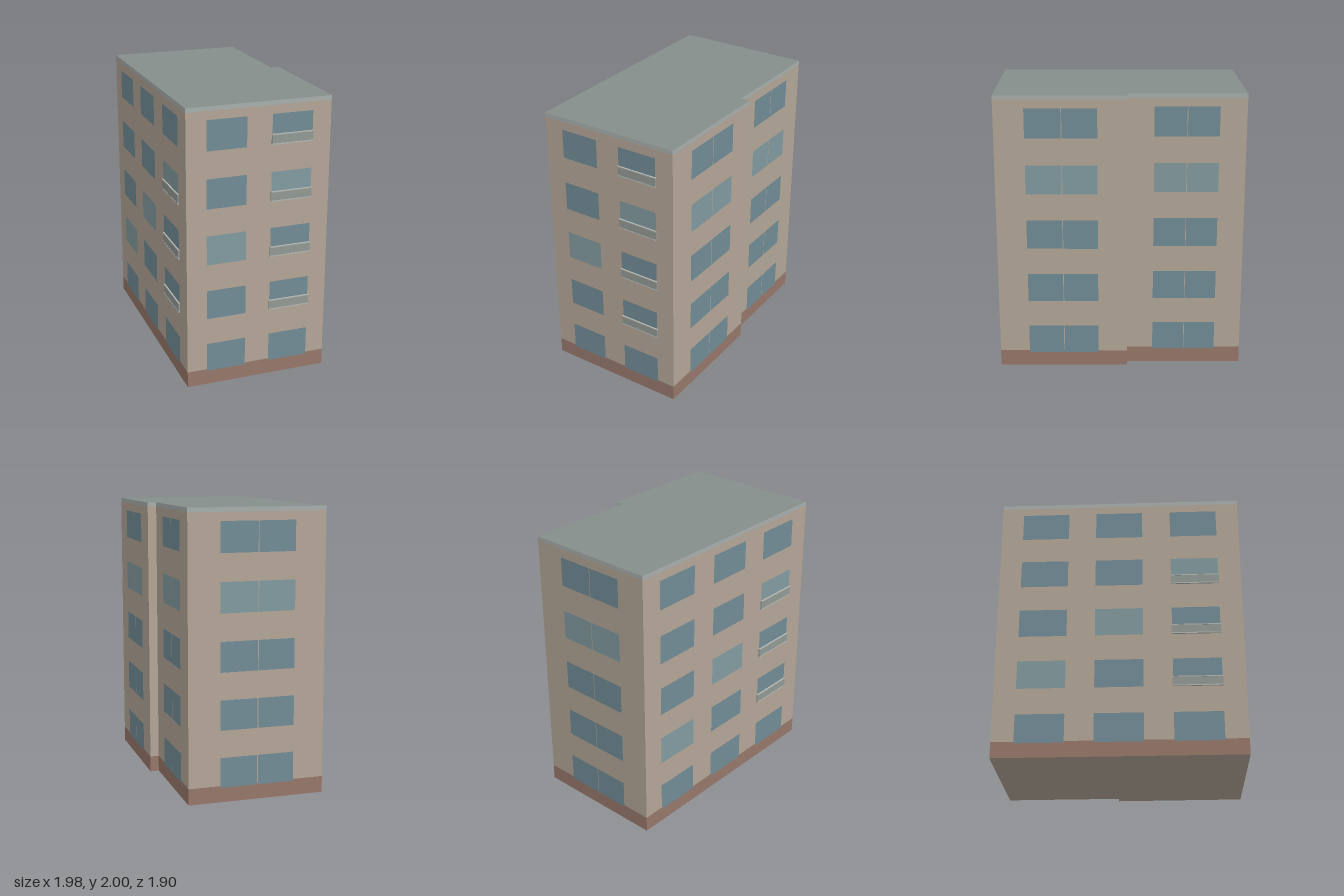
import * as THREE from 'three';

const mat = (color) => new THREE.MeshStandardMaterial({ color });

export function createModel() {
  const building = new THREE.Group();
  building.name = 'apartmentBlock';
  const wallMat = mat(0xb3a697), plinthMat = mat(0x97776a), bandMat = mat(0xa8afac);
  const roofMat = mat(0x858e8a), glassMat = mat(0x728c96), paleGlassMat = mat(0x829ba0);
  const balconyMat = mat(0x929995), railMat = mat(0xb4b7b2);
  const HEIGHT = 2, PLINTH = 0.115, BAND = 1.97, STOREY = 0.4;

  // Footprint corners (x, z), counter-clockwise seen from above
  const corners = [
    [-0.99, -0.24], [0.295, 0.95], [0.985, 0.19],
    [0.315, -0.44], [0.275, -0.39], [-0.33, -0.955],
  ];

  // Each wall: window spans as fractions of its length, the storey with pale
  // glass in each span, and storeys with a balcony on the last span
  const pair = [[0.23, 0.503], [0.509, 0.775]];
  const walls = [
    { name: 'longFacade', spans: [[0.09, 0.285], [0.4, 0.595], [0.712, 0.907]], pale: [1, 2, 3], balconies: [1, 2, 3] },
    { name: 'endFacade', spans: [[0.138, 0.413], [0.587, 0.87]], pale: [2, 3], balconies: [1, 2, 3, 4] },
    { name: 'rearWallProjecting', spans: pair, pale: [3, 3], balconies: [] },
    { name: 'rearStep', spans: [], pale: [], balconies: [] },
    { name: 'rearWall', spans: pair, pale: [3, 3], balconies: [] },
    { name: 'farEndWall', spans: pair, pale: [3, 3], balconies: [] },
  ];

  // Flat panel in a wall's own frame: x along the wall, z outwards
  const panel = (parent, name, x0, x1, y0, y1, z, material) => {
    const m = new THREE.Mesh(new THREE.PlaneGeometry(x1 - x0, y1 - y0), material);
    m.position.set((x0 + x1) / 2, (y0 + y1) / 2, z);
    m.name = name;
    parent.add(m);
  };
  const block = (parent, name, x0, x1, y0, y1, depth, material) => {
    const m = new THREE.Mesh(new THREE.BoxGeometry(x1 - x0, y1 - y0, depth), material);
    m.position.set((x0 + x1) / 2, (y0 + y1) / 2, depth / 2);
    m.name = name;
    parent.add(m);
  };

  walls.forEach((spec, i) => {
    const [ax, az] = corners[i], [bx, bz] = corners[(i + 1) % corners.length];
    const length = Math.hypot(bx - ax, bz - az);
    const wall = new THREE.Group();
    wall.name = spec.name;
    wall.position.set(ax, 0, az);
    wall.rotation.y = Math.atan2(az - bz, bx - ax);
    building.add(wall);

    panel(wall, 'plinth', 0, length, 0, PLINTH, 0, plinthMat);
    panel(wall, 'wallFace', 0, length, PLINTH, BAND, 0, wallMat);
    panel(wall, 'roofEdge', 0, length, BAND, HEIGHT, 0, bandMat);

    // Windows, storey by storey
    spec.spans.forEach(([u0, u1], w) => {
      for (let floor = 0; floor < 5; floor++) {
        const y = 0.103 + floor * STOREY * 0.999;
        const glass = spec.pale[w] === floor ? paleGlassMat : glassMat;
        panel(wall, 'window', u0 * length, u1 * length, y, y + 0.209, 0.002, glass);
      }
    });

    // Shallow balconies: slab, front panel and rail
    spec.balconies.forEach((floor) => {
      const [u0, u1] = spec.spans[spec.spans.length - 1];
      const x0 = u0 * length - 0.004, x1 = u1 * length + 0.004;
      const y = 0.102 + floor * STOREY;
      const balcony = new THREE.Group();
      balcony.name = 'balcony';
      wall.add(balcony);
      block(balcony, 'balconySlab', x0, x1, y, y + 0.008, 0.012, railMat);
      block(balcony, 'balconyPanel', x0, x1, y + 0.008, y + 0.066, 0.01, balconyMat);
      block(balcony, 'balconyRail', x0, x1, y + 0.066, y + 0.073, 0.012, railMat);
    });
  });

  // Flat roof and underside share the footprint
  const outline = new THREE.Shape(corners.map(([x, z]) => new THREE.Vector2(x, -z)));
  const roof = new THREE.Mesh(new THREE.ShapeGeometry(outline), roofMat);
  roof.rotation.x = -Math.PI / 2;
  roof.position.y = HEIGHT;
  roof.name = 'roof';

  const underside = new THREE.Shape(corners.map(([x, z]) => new THREE.Vector2(x, z)));
  const floor = new THREE.Mesh(new THREE.ShapeGeometry(underside), wallMat);
  floor.rotation.x = Math.PI / 2;
  floor.name = 'underside';
  building.add(roof, floor);

  return building;
}
